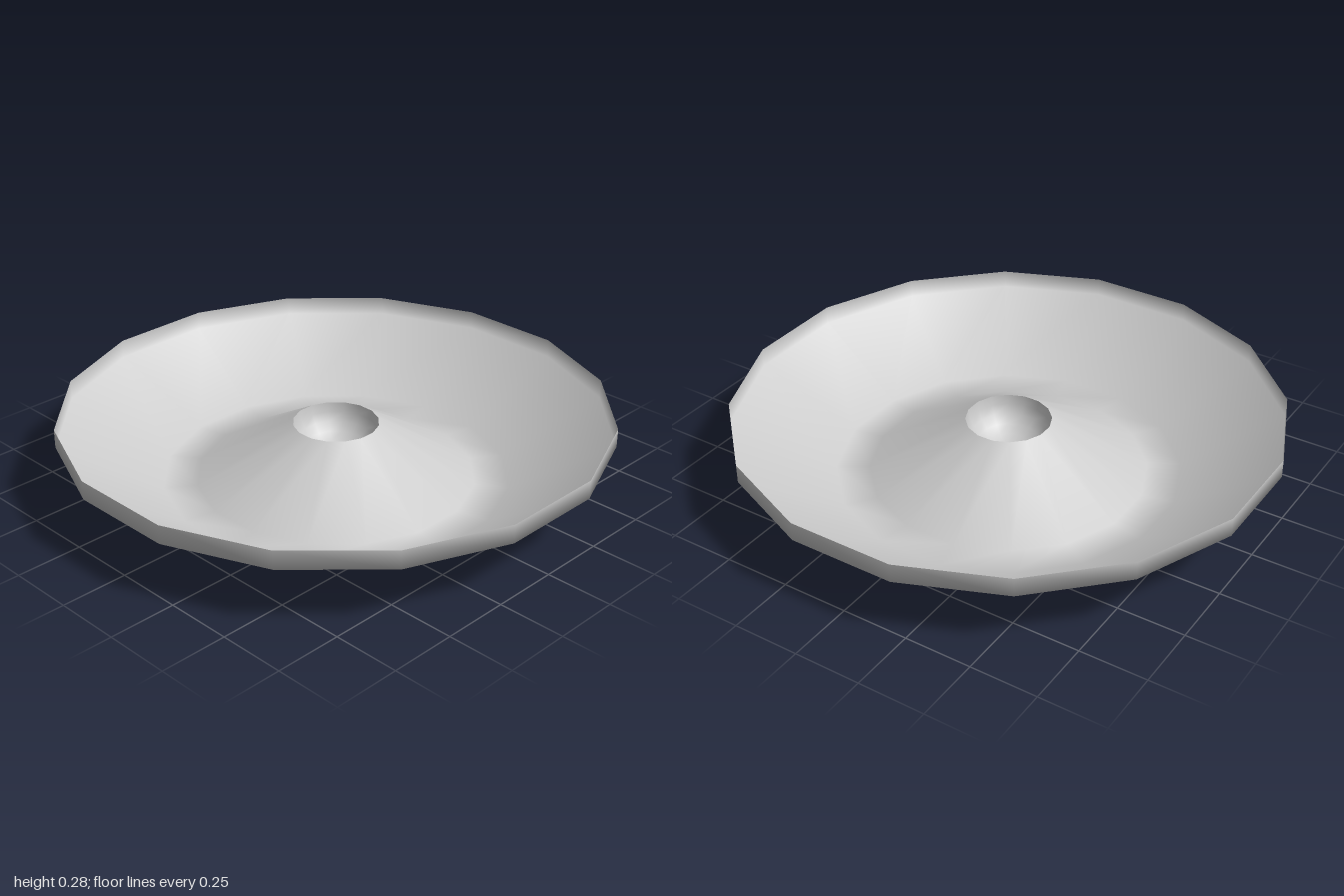
import * as THREE from 'three';

const SIDES = 16;

// Thin turned surface with its flats facing the axes
function turned(name, profile, material) {
  const points = profile.map(([r, y]) => new THREE.Vector2(r, y));
  const mesh = new THREE.Mesh(new THREE.LatheGeometry(points, SIDES, Math.PI / SIDES), material);
  mesh.name = name;
  return mesh;
}

export function createModel() {
  const group = new THREE.Group();
  group.name = 'dish';
  const material = new THREE.MeshStandardMaterial({ color: 0xcccccc, side: THREE.DoubleSide });

  // Raised centre cone, flat foot ring, sloping wall and upright rim
  const rim = 1 / Math.cos(Math.PI / SIDES);
  group.add(turned('dishShell', [
    [0.16, 0.21], [0.52, 0], [0.645, 0], [rim, 0.21], [rim, 0.28],
  ], material));

  // Rounded cup sunk into the top of the cone
  const cup = [];
  for (let i = 0; i <= 6; i++) {
    const a = (i / 6) * Math.PI / 2;
    cup.push([0.16 * Math.sin(a), 0.21 - 0.14 * Math.cos(a)]);
  }
  group.add(turned('centreCup', cup, material));

  return group;
}
